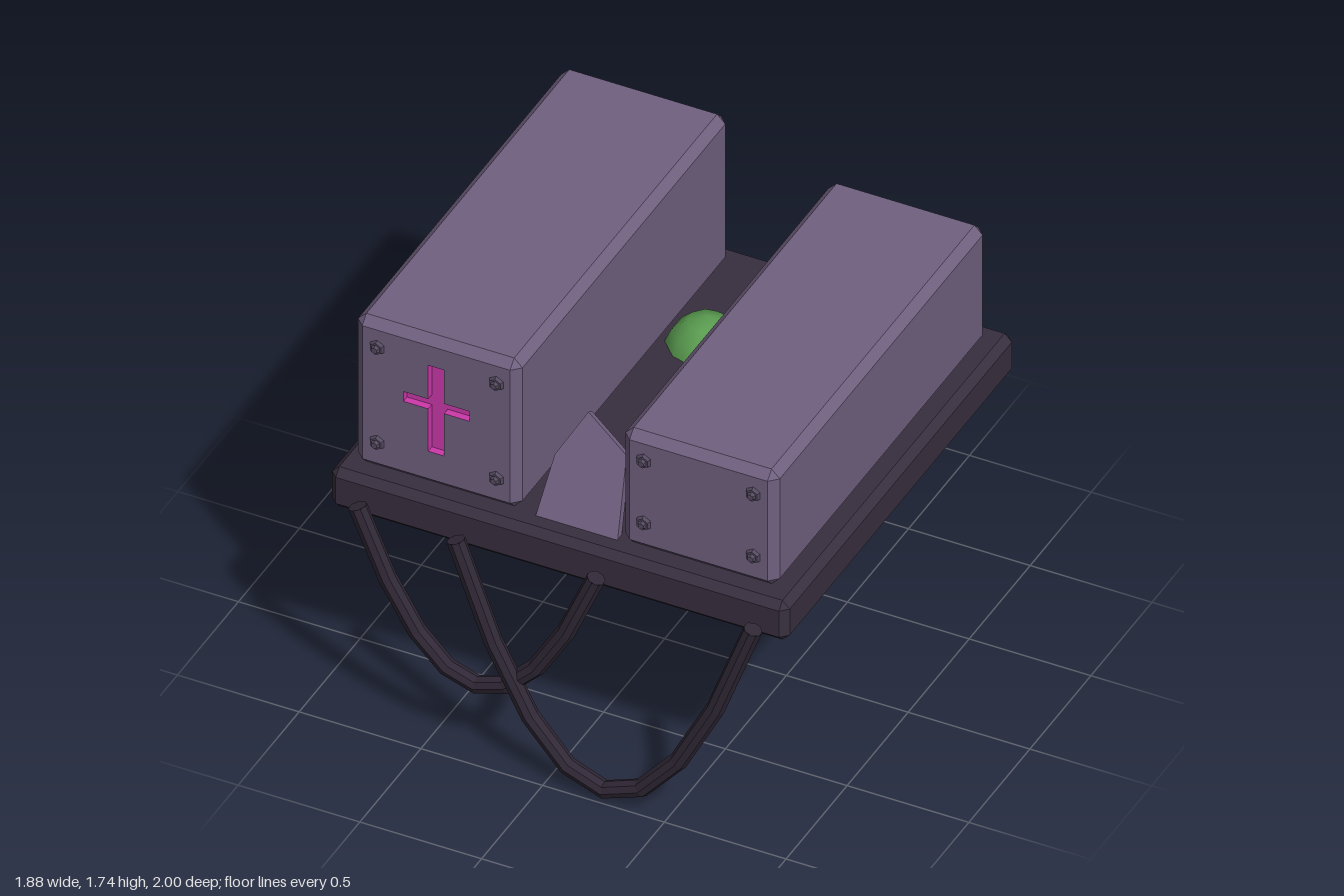
import * as THREE from 'three';
import { mergeVertices } from 'three/addons/utils/BufferGeometryUtils.js';
import { ConvexGeometry } from 'three/addons/geometries/ConvexGeometry.js';

const mat = (name, color, side = THREE.FrontSide) => {
  const m = new THREE.MeshStandardMaterial({ color, side });
  m.name = name;
  return m;
};

// Flat normals for faceted parts
const facet = (geo) => {
  const g = geo.index ? geo.toNonIndexed() : geo;
  g.computeVertexNormals();
  return g;
};

// Box with all edges chamfered by b
function chamferBox([x0, x1], [y0, y1], [z0, z1], b) {
  const pts = [];
  for (const i of [0, 1]) for (const j of [0, 1]) for (const k of [0, 1]) {
    for (let axis = 0; axis < 3; axis++) {
      const inset = [b, b, b];
      inset[axis] = 0;
      pts.push(new THREE.Vector3(
        i ? x1 - inset[0] : x0 + inset[0],
        j ? y1 - inset[1] : y0 + inset[1],
        k ? z1 - inset[2] : z0 + inset[2]));
    }
  }
  return new ConvexGeometry(pts);
}

// Remove the triangles facing +z, optionally turning the rest inside out
function openFront(geo, flip = false) {
  const src = geo.index ? geo.toNonIndexed() : geo;
  const p = src.attributes.position, out = [], tri = new THREE.Triangle(), n = new THREE.Vector3();
  for (let i = 0; i < p.count; i += 3) {
    tri.setFromAttributeAndIndices(p, i, i + 1, i + 2);
    if (tri.getNormal(n).z > 0.95) continue;
    for (const v of flip ? [tri.a, tri.c, tri.b] : [tri.a, tri.b, tri.c]) out.push(v.x, v.y, v.z);
  }
  const g = new THREE.BufferGeometry();
  g.setAttribute('position', new THREE.Float32BufferAttribute(out, 3));
  g.computeVertexNormals();
  return g;
}

const polygon = (pts) => pts.map(([x, y]) => new THREE.Vector2(x, y));

export function createModel() {
  const root = new THREE.Group();
  const stone = mat('mauve stone', 0x706080);
  const dark = mat('dark plum', 0x382f3f);
  const ropeMat = mat('rope plum', 0x302836);
  const boltMat = mat('bolt grey', 0x544a60);
  const pink = mat('magenta', 0xcc38aa);
  const green = mat('moss green', 0x5a9c50);

  const add = (name, geo, material, parent = root) => {
    const m = new THREE.Mesh(geo, material);
    m.name = name;
    parent.add(m);
    return m;
  };

  // Base slab
  add('baseSlab', chamferBox([-0.94, 0.94], [0.88, 1.06], [-1, 0.88], 0.03), dark);

  // Tall block with a cross sunk into its front
  const zFront = 0.81, zBack = -0.92, bevel = 0.034;
  const tall = new THREE.Group();
  tall.name = 'tallBlock';
  root.add(tall);
  add('tallBlockBody', openFront(chamferBox([-0.87, -0.195], [1.06, 1.74], [zBack, zFront], bevel)), stone, tall);
  const cross = polygon([
    [-0.565, 1.22], [-0.5, 1.22], [-0.5, 1.415], [-0.395, 1.415], [-0.395, 1.46], [-0.5, 1.46],
    [-0.5, 1.615], [-0.565, 1.615], [-0.565, 1.46], [-0.667, 1.46], [-0.667, 1.415], [-0.565, 1.415]]);
  const face = new THREE.Shape(polygon([
    [-0.87 + bevel, 1.06 + bevel], [-0.195 - bevel, 1.06 + bevel],
    [-0.195 - bevel, 1.74 - bevel], [-0.87 + bevel, 1.74 - bevel]]));
  face.holes.push(new THREE.Path(cross));
  add('tallBlockFace', new THREE.ShapeGeometry(face), stone, tall).position.z = zFront;
  const depth = 0.03;
  const pit = new THREE.ExtrudeGeometry(new THREE.Shape(cross), { depth, bevelEnabled: false });
  add('crossRecess', openFront(pit, true), pink, tall).position.z = zFront - depth;

  // Short block
  add('shortBlock', chamferBox([0.228, 0.862], [1.06, 1.587], [zBack, zFront], bevel), stone);

  // Bolts: hexagonal nut with a narrower hexagonal tip
  const nutGeo = facet(new THREE.CylinderGeometry(0.026, 0.033, 0.014, 6).rotateX(Math.PI / 2));
  const tipGeo = facet(new THREE.CylinderGeometry(0.013, 0.019, 0.013, 6).rotateX(Math.PI / 2));
  const boltRows = [[[-0.775, -0.285], [1.19, 1.627]], [[0.32, 0.77], [1.19, 1.475]]];
  for (const [xs, ys] of boltRows) for (const x of xs) for (const y of ys) {
    const bolt = new THREE.Group();
    bolt.name = 'bolt';
    bolt.position.set(x, y, zFront);
    add('boltNut', nutGeo, boltMat, bolt).position.z = 0.006;
    add('boltTip', tipGeo, boltMat, bolt).position.z = 0.019;
    root.add(bolt);
  }

  // Broken slab leaning back between the blocks
  const shard = new THREE.Shape(polygon([
    [-0.132, -0.01], [0.205, -0.01], [0.165, 0.305], [-0.02, 0.42], [-0.112, 0.232]]));
  const shardGeo = new THREE.ExtrudeGeometry(shard, { depth: 0.035, bevelEnabled: false });
  shardGeo.translate(0, 0, -0.035).rotateX(-0.51);
  add('leaningSlab', shardGeo, stone).position.set(0, 1.067, 0.79);

  // Mossy mound with an uneven outline
  const profile = polygon([[1, 0], [0.85, 0.055], [0.5, 0.11], [0, 0.135]]);
  const radii = [0.145, 0.13, 0.125, 0.15, 0.155, 0.14, 0.155, 0.165, 0.165, 0.15];
  const mound = new THREE.LatheGeometry(profile, 10);
  const mp = mound.attributes.position;
  for (let i = 0; i < mp.count; i++) {
    const r = radii[Math.floor(i / profile.length) % 10];
    mp.setX(i, mp.getX(i) * r);
    mp.setZ(i, mp.getZ(i) * r);
  }
  mound.deleteAttribute('uv');
  mound.deleteAttribute('normal');
  const moundGeo = mergeVertices(mound);
  moundGeo.computeVertexNormals();
  add('mound', moundGeo, green).position.set(-0.03, 1.058, -0.42);

  // Hanging ropes: parabolas in eight straight runs, capped at both ends
  const ropes = [[-0.79, 0.19, 0.325, 0.94], [-0.375, 0.845, 0.038, 0.962]];
  for (const [x0, x1, low, z] of ropes) {
    const top = 0.98, r = 0.036;
    const curve = new THREE.QuadraticBezierCurve3(
      new THREE.Vector3(x0, top, z),
      new THREE.Vector3((x0 + x1) / 2, 2 * low - top, z),
      new THREE.Vector3(x1, top, z));
    curve.getPointAt = curve.getPoint;
    curve.getTangentAt = curve.getTangent;
    const rope = new THREE.Group();
    rope.name = 'rope';
    root.add(rope);
    add('ropeLength', facet(new THREE.TubeGeometry(curve, 8, r, 8)), ropeMat, rope);
    for (const t of [0, 1]) {
      const cap = add('ropeEnd', new THREE.CircleGeometry(r, 8), ropeMat, rope);
      const dir = curve.getTangent(t).multiplyScalar(t ? 1 : -1);
      cap.position.copy(curve.getPoint(t));
      cap.quaternion.setFromUnitVectors(new THREE.Vector3(0, 0, 1), dir);
    }
  }
  return root;
}
